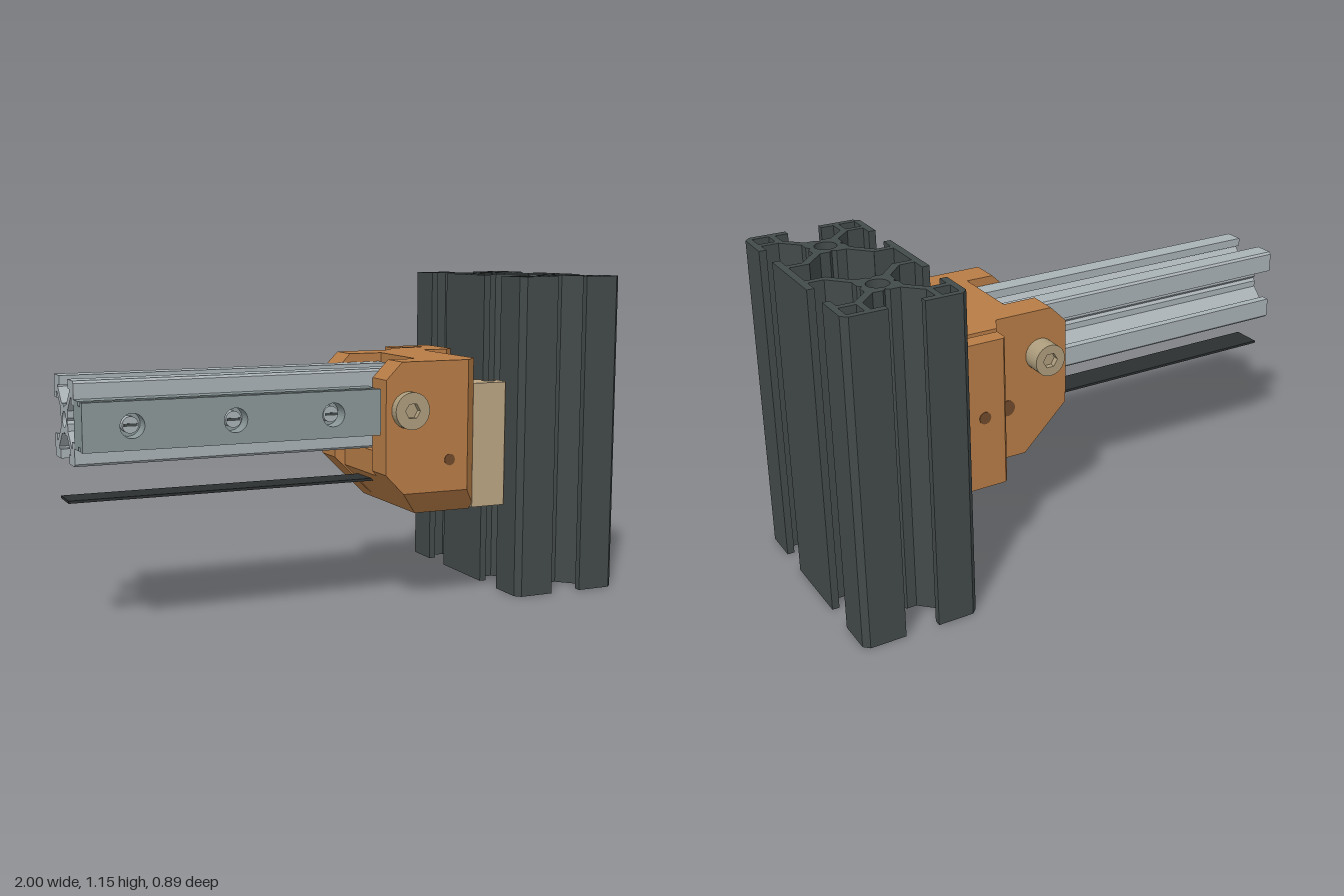
import * as THREE from 'three';
import { ConvexGeometry } from 'three/addons/geometries/ConvexGeometry.js';

const paint = (name, hex) => {
  const m = new THREE.MeshStandardMaterial({ color: hex });
  m.name = name;
  return m;
};

// 2D helpers: polygons, thick lines and circular holes
const poly = (pts, holes = []) => {
  const s = new THREE.Shape(pts.map(([x, y]) => new THREE.Vector2(x, y)));
  for (const h of holes) s.holes.push(h);
  return s;
};
const circle = (x, y, r) => new THREE.Path().absarc(x, y, r, 0, Math.PI * 2, true);
const rect = (x0, y0, x1, y1) => [[x0, y0], [x1, y0], [x1, y1], [x0, y1]];
const bar = (x0, y0, x1, y1, t) => {
  const l = Math.hypot(x1 - x0, y1 - y0), a = -(y1 - y0) / l * t / 2, b = (x1 - x0) / l * t / 2;
  return [[x0 + a, y0 + b], [x1 + a, y1 + b], [x1 - a, y1 - b], [x0 - a, y0 - b]];
};
const extrude = (shapes, depth) =>
  new THREE.ExtrudeGeometry(shapes, { depth, bevelEnabled: false, curveSegments: 16 });
// outline given as x and -z, raised along y
const upright = (shapes, y0, y1) => extrude(shapes, y1 - y0).rotateX(-Math.PI / 2).translate(0, y0, 0);
// outline given as x and z
const plan = (pts, y0, y1, holes) => upright(poly(pts.map(([x, z]) => [x, -z]), holes), y0, y1);
// outline given as x and y, running along z
const front = (pts, z0, z1, holes) => extrude(poly(pts, holes), z1 - z0).translate(0, 0, z0);

// Slotted core with a bore
function core(ox, oy, c, n, r) {
  const side = [[c, -c], [c, -n], [c - n, 0], [c, n]];
  const pts = [];
  for (let k = 0; k < 4; k++) {
    const ca = Math.round(Math.cos(k * Math.PI / 2)), sa = Math.round(Math.sin(k * Math.PI / 2));
    for (const [x, y] of side) pts.push([ox + x * ca - y * sa, oy + x * sa + y * ca]);
  }
  return poly(pts, [circle(ox, oy, r)]);
}

// Double-cell column profile
function columnShapes() {
  const h = 0.2075, w = 0.182, shapes = [];
  const corner = [[0.06, h], [h - 0.02, h], [h, h - 0.02], [h, 0.06], [w, 0.06],
    [w, 0.105], [0.105, 0.105], [0.105, w], [0.06, w]];
  const pocket = rect(0.127, 0.127, 0.185, 0.185);
  for (const [oy, out] of [[-0.1725, -1], [0.2375, 1]]) {
    const ox = 0.7925;
    shapes.push(core(ox, oy, 0.065, 0.012, 0.038));
    for (const sx of [1, -1]) {
      const put = (pts, sy) => pts.map(([x, y]) => [ox + x * sx, oy + y * sy]);
      const hole = new THREE.Path(put(pocket, out).map(([x, y]) => new THREE.Vector2(x, y)));
      shapes.push(poly(put(corner, out), [hole]));
      shapes.push(poly(put(bar(0.05, 0.05, 0.118, 0.118, 0.026), out)));
      shapes.push(poly(put(rect(w, 0.06, h, 0.206), -out)));
      shapes.push(poly(put(rect(0.112, 0.115, 0.19, 0.138), -out)));
      shapes.push(poly(put(bar(0.05, 0.05, 0.122, 0.128, 0.026), -out)));
    }
  }
  return shapes;
}

// Single-cell beam profile
function beamShapes() {
  const h = 0.137, shapes = [core(0, 0, 0.05, 0.01, 0.026)];
  const corner = [[0.06, h], [h - 0.008, h], [h, h - 0.008], [h, 0.06], [0.106, 0.06],
    [0.106, 0.082], [0.082, 0.082], [0.082, 0.106], [0.06, 0.106]];
  for (const sx of [1, -1]) for (const sy of [1, -1]) {
    const put = pts => pts.map(([x, y]) => [x * sx, y * sy]);
    shapes.push(poly(put(corner)), poly(put(bar(0.035, 0.035, 0.095, 0.095, 0.024))));
  }
  return shapes;
}

export function createModel() {
  const model = new THREE.Group();
  model.name = 'railClampAssembly';
  const dark = paint('dark anodised', 0x434a4a);
  const silver = paint('silver aluminium', 0xa9b2b6);
  const steel = paint('grey steel', 0x8a9798);
  const orange = paint('orange plastic', 0xb87c46);
  const tan = paint('tan plastic', 0xbca684);
  const brass = paint('bolt metal', 0xad9d7d);
  const black = paint('belt rubber', 0x2c3031);
  const bore = paint('bore brown', 0x70492a);

  const add = (name, geo, mat, parent = model) => {
    const m = new THREE.Mesh(geo, mat);
    m.name = name;
    parent.add(m);
    return m;
  };
  const cylZ = (r, z0, z1, x, y, n = 32) =>
    new THREE.CylinderGeometry(r, r, z1 - z0, n).rotateX(Math.PI / 2).translate(x, y, (z0 + z1) / 2);

  // Column and beam
  add('column', upright(columnShapes(), 0, 1.155), dark);
  add('beam', extrude(beamShapes(), 1.19).rotateY(Math.PI / 2).translate(-1, 0.708, 0.166), silver);

  // Guide rail in three layers, so that its sides are grooved
  const guide = new THREE.Group();
  guide.name = 'guideRail';
  model.add(guide);
  const screws = [-0.84, -0.497, -0.153];
  for (const [z0, z1, e] of [[0.303, 0.36, 0], [0.36, 0.383, 0.014], [0.383, 0.41, 0]]) {
    add('guideLayer', front(rect(-1, 0.63 + e, 0.02, 0.787 - e), z0, z1,
      screws.map(x => circle(x, 0.708, 0.04))), steel, guide);
  }
  for (const x of screws) {
    add('guideScrew', cylZ(0.027, 0.305, 0.385, x, 0.708, 24), silver, guide);
    add('screwSeat', cylZ(0.04, 0.305, 0.355, x, 0.708, 24), steel, guide);
    add('screwSlot', new THREE.BoxGeometry(0.044, 0.009, 0.004).translate(x, 0.708, 0.386), dark, guide);
  }

  // Flat belt below the beam
  add('belt', new THREE.BoxGeometry(1.2, 0.009, 0.11).translate(-0.4, 0.44, 0.145), black);

  // Clamp bracket
  const clamp = new THREE.Group();
  clamp.name = 'clampBracket';
  model.add(clamp);
  const arm = (x0, x1, y0, cut, z) => [[x0, 0.815], [x0 + 0.06, 0.875], [x1, 0.875],
    [x1, y0], [cut, y0], [x0, 0.49]].map(([x, y]) => new THREE.Vector3(x, y, z));
  add('frontArm', new ConvexGeometry([
    ...arm(0.04, 0.405, 0.335, 0.19, 0.3),
    ...arm(0.04, 0.405, 0.335, 0.19, 0.335),
    ...arm(0.04, 0.355, 0.42, 0.108, 0.41),
    new THREE.Vector3(0.405, 0.875, 0.358), new THREE.Vector3(0.405, 0.36, 0.358)]), orange, clamp);
  add('backArm', front([[0.02, 0.815], [0.08, 0.875], [0.3, 0.875], [0.3, 0.335],
    [0.19, 0.335], [0.02, 0.5]], -0.085, 0.027), orange, clamp);
  add('clampFloor', front([[0.06, 0.555], [0.06, 0.47], [0.19, 0.335], [0.22, 0.335], [0.22, 0.555]],
    0.02, 0.305), orange, clamp);
  // Body with the slit rear tab
  add('clampBody', plan([[0.205, 0.302], [0.405, 0.302], [0.405, -0.028], [0.505, -0.028], [0.537, -0.052],
    [0.537, -0.215], [0.52, -0.237], [0.355, -0.237], [0.345, -0.227], [0.345, -0.176], [0.47, -0.176],
    [0.47, -0.152], [0.334, -0.152], [0.298, -0.085], [0.298, 0.026], [0.205, 0.026]],
    0.335, 0.875), orange, clamp);
  // Bores in the clamp
  add('frontBore', cylZ(0.02, 0.405, 0.412, 0.285, 0.53, 20), bore, clamp);
  add('backBore', cylZ(0.03, -0.087, -0.08, 0.26, 0.53, 20), bore, clamp);
  add('tabBore', cylZ(0.022, -0.239, -0.232, 0.43, 0.6, 20), bore, clamp);

  // Clamp bolts with hexagonal sockets
  for (const [name, z0, z1, s, r] of [['frontBolt', 0.4, 0.443, 1, 0.064], ['backBolt', -0.157, -0.08, -1, 0.058]]) {
    const bolt = new THREE.Group();
    bolt.name = name;
    model.add(bolt);
    const hex = new THREE.Path(Array.from({ length: 6 }, (_, i) =>
      new THREE.Vector2(0.125 + 0.028 * Math.cos(i * Math.PI / 3), 0.71 + 0.028 * Math.sin(i * Math.PI / 3))));
    const head = new THREE.Shape().absarc(0.125, 0.71, r, 0, Math.PI * 2);
    head.holes.push(hex);
    add('boltHead', extrude(head, z1 - z0).translate(0, 0, z0), brass, bolt);
    const end = s > 0 ? z1 - 0.025 : z0 + 0.025;
    add('socketFloor', cylZ(0.03, end - 0.004, end + 0.004, 0.125, 0.71, 16), brass, bolt);
  }

  // Slide block between clamp and column
  add('slideBlock', plan([[0.406, -0.015], [0.535, -0.015], [0.545, -0.005], [0.545, 0.085], [0.52, 0.095],
    [0.475, 0.095], [0.475, 0.245], [0.52, 0.245], [0.545, 0.255], [0.545, 0.345], [0.535, 0.357],
    [0.406, 0.357]], 0.343, 0.785,
    [circle(0.508, -0.06, 0.025), circle(0.508, -0.285, 0.025),
      new THREE.Path(rect(0.427, -0.243, 0.453, -0.095).map(([x, y]) => new THREE.Vector2(x, y)))]), tan);
  return model;
}
